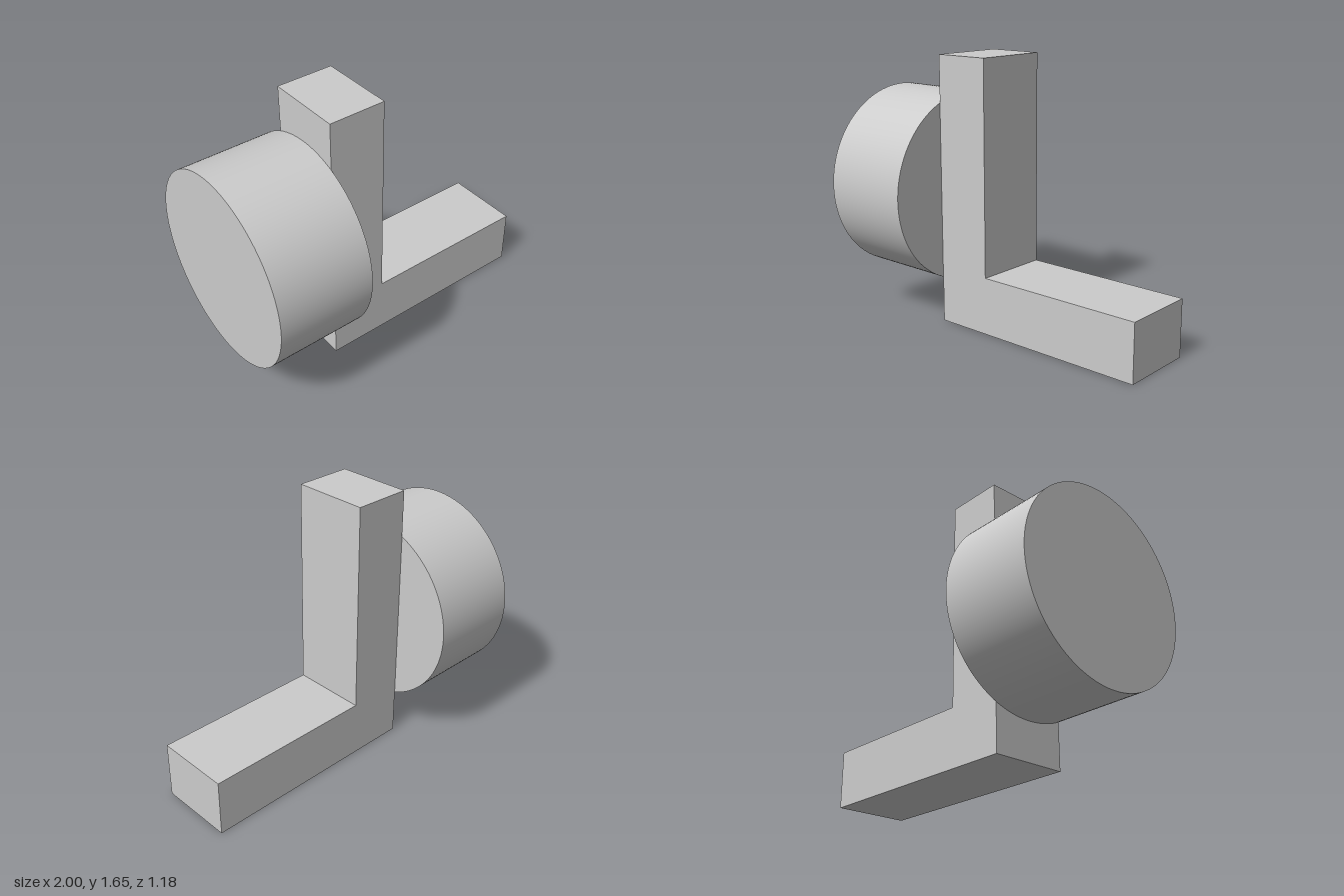
import * as THREE from 'three';

export function createModel() {
  const group = new THREE.Group();
  const material = new THREE.MeshStandardMaterial({ color: 0xcccccc });

  const back = -0.412, height = 1.647, thickness = 0.353, depth = 0.47;

  // L-shaped bracket: upright and foot in one extruded profile
  const profile = new THREE.Shape([
    [back, 0], [1, 0], [1, thickness],
    [back + thickness, thickness], [back + thickness, height], [back, height],
  ].map(([x, y]) => new THREE.Vector2(x, y)));
  const bracketGeometry = new THREE.ExtrudeGeometry(profile, { depth, bevelEnabled: false });
  bracketGeometry.translate(0, 0, -depth / 2);
  const bracket = new THREE.Mesh(bracketGeometry, material);
  bracket.name = 'bracket';

  // Round boss lying along x, centred on the upright's outer face
  const length = 1 + back;
  const bossGeometry = new THREE.CylinderGeometry(0.588, 0.588, length, 128);
  bossGeometry.rotateZ(Math.PI / 2);
  const boss = new THREE.Mesh(bossGeometry, material);
  boss.position.set(-1 + length / 2, height / 2, 0);
  boss.name = 'boss';

  group.add(bracket, boss);
  return group;
}
